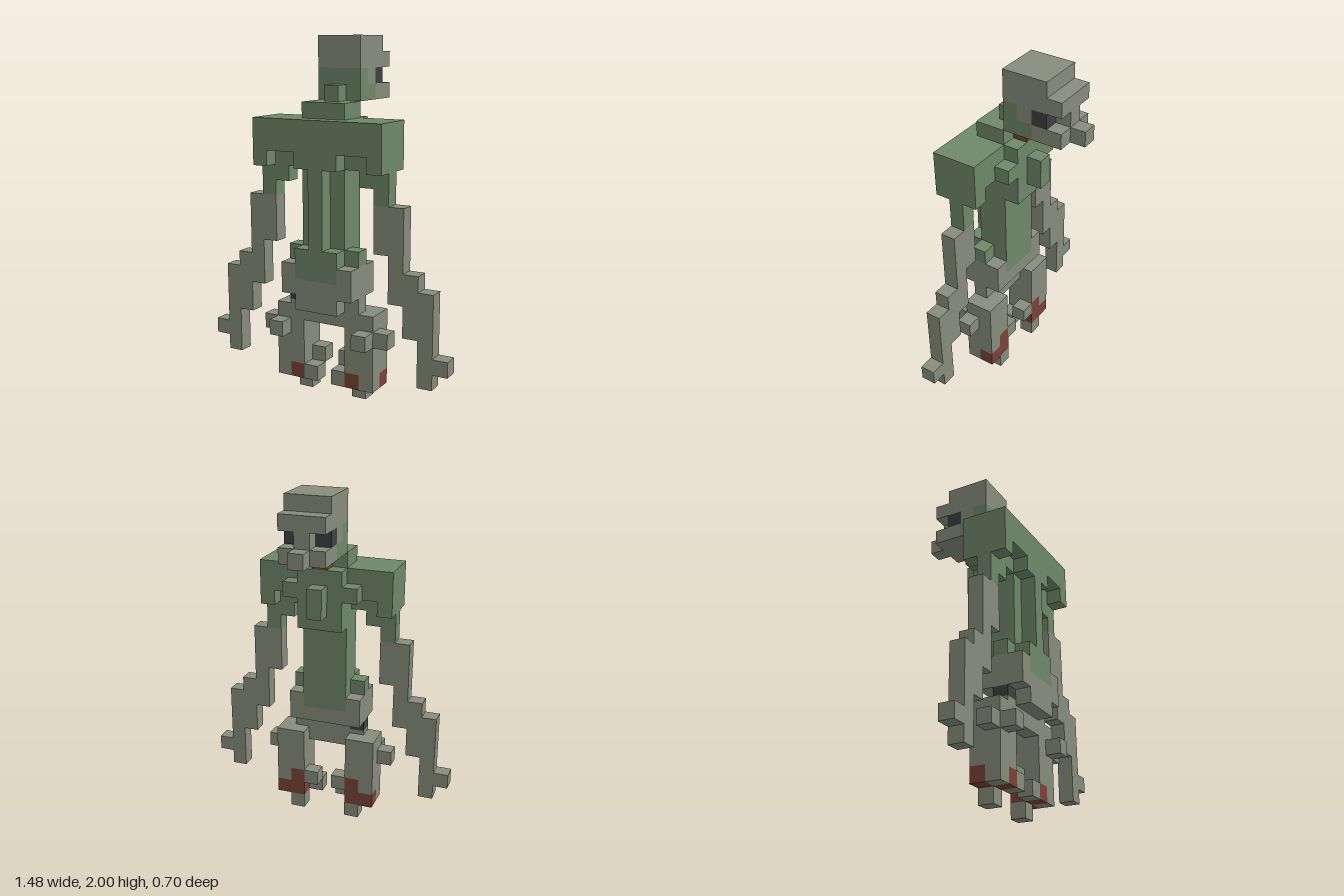
import * as THREE from 'three';

const U = 2 / 23; // one block

const mat = (name, color) => {
  const m = new THREE.MeshStandardMaterial({ color });
  m.name = name;
  return m;
};

export function createModel() {
  const grey = mat('grey skin', 0x878c7b);
  const green = mat('green cloth', 0x6e8869);
  const red = mat('dried red', 0x7a4236);
  const dark = mat('dark hollow', 0x3f4042);

  const model = new THREE.Group();
  model.name = 'blockFigure';

  const part = (name) => {
    const g = new THREE.Group();
    g.name = name;
    model.add(g);
    return g;
  };

  // Box given by its block ranges on each axis
  const box = (group, name, m, x0, x1, y0, y1, z0, z1) => {
    const geo = new THREE.BoxGeometry((x1 - x0) * U, (y1 - y0) * U, (z1 - z0) * U);
    const mesh = new THREE.Mesh(geo, m);
    mesh.name = name;
    mesh.position.set((x0 + x1) / 2 * U, (y0 + y1) / 2 * U, (z0 + z1) / 2 * U);
    group.add(mesh);
  };
  // Box centred on x = 0
  const mid = (group, name, m, half, ...yz) => box(group, name, m, -half, half, ...yz);
  // Mirrored pair of boxes
  const pair = (group, name, m, x0, x1, ...yz) => {
    box(group, name + 'Left', m, x0, x1, ...yz);
    box(group, name + 'Right', m, -x1, -x0, ...yz);
  };

  // Head, with brow, nose, jaw and eye hollows
  const head = part('head');
  mid(head, 'skull', grey, 1.5, 21, 23, -2, 1);
  mid(head, 'nape', green, 1.5, 19, 21, 0, 1);
  mid(head, 'lowerCheek', green, 1.5, 19, 20, -1, 0);
  mid(head, 'upperCheek', grey, 1.5, 20, 21, -1, 0);
  mid(head, 'mouthRoof', grey, 1.5, 19, 20, -2, -1);
  mid(head, 'noseBridge', grey, 0.5, 20, 21, -3, -1);
  pair(head, 'eye', dark, 0.5, 1.5, 20, 21, -2, -1);
  mid(head, 'brow', grey, 1.5, 21, 22, -3, -2);
  mid(head, 'jaw', grey, 1.5, 19, 20, -3, -2);
  mid(head, 'snout', grey, 0.5, 19, 20, -4, -3);

  // Neck
  const neck = part('neck');
  mid(neck, 'neckBase', green, 1.5, 18, 19, 1, 3);
  mid(neck, 'neckBone', green, 0.5, 19, 20, 1, 2);
  mid(neck, 'throat', red, 0.5, 18, 19, 0, 1);

  // Shoulders, chest and spine
  const torso = part('torso');
  mid(torso, 'shoulderBar', green, 4.5, 16, 18, 1, 4);
  pair(torso, 'shoulderEnd', green, 3.5, 4.5, 15, 16, 1, 4);
  pair(torso, 'armpit', green, 2.5, 3.5, 14, 16, 2, 3);
  pair(torso, 'shoulderBlade', green, 1.5, 2.5, 15, 16, 2, 3);
  mid(torso, 'chest', green, 1.5, 14, 18, 0, 1);
  mid(torso, 'breastbone', green, 0.5, 15, 17, -1, 0);
  pair(torso, 'rib', green, 1.5, 2.5, 16, 17, 0, 1);
  mid(torso, 'trunk', green, 1.5, 9, 16, 1, 3);
  mid(torso, 'upperBack', green, 1.5, 15, 16, 3, 4);
  mid(torso, 'spine', green, 0.5, 10, 15, 3, 4);
  mid(torso, 'lowerBack', green, 1.5, 9, 10, 3, 4);

  // Pelvis, with one dark hole on the right
  const pelvis = part('pelvis');
  mid(pelvis, 'clothHem', green, 1.5, 8, 9, 1, 4);
  pair(pelvis, 'hipKnob', green, 1.5, 2.5, 9, 10, 2, 3);
  pair(pelvis, 'hipSide', grey, 1.5, 2.5, 8, 9, 1, 4);
  mid(pelvis, 'hips', grey, 2.5, 7, 8, 1, 4);
  mid(pelvis, 'tailbone', grey, 1.5, 6, 7, 3, 4);
  mid(pelvis, 'crotch', grey, 1.5, 5, 7, 2, 3);
  box(pelvis, 'hipJointLeft', grey, 1.5, 2.5, 6, 7, 2, 3);
  box(pelvis, 'hipHole', dark, -2.5, -1.5, 6.3, 7, 2, 3);
  box(pelvis, 'hipJointRight', grey, -2.5, -1.5, 6, 6.3, 2, 3);

  // Arms: columns stepping outward and down to the hand
  const arms = part('arms');
  pair(arms, 'sleeve', green, 3.5, 4.5, 13, 15, 2, 3);
  [
    ['upperArm', 3.5, 5.5, 10, 13],
    ['elbow', 4.5, 5.5, 7, 10],
    ['forearm', 5.5, 6.5, 5, 9],
    ['wrist', 6.5, 7.5, 2, 8],
    ['thumb', 7.5, 8.5, 3, 4],
  ].forEach(([name, ...r]) => pair(arms, name, grey, ...r, 2, 3));

  // Legs, with red ankles
  const legs = part('legs');
  pair(legs, 'thigh', grey, 1.5, 3.5, 3, 6, 1, 3);
  pair(legs, 'outerShin', grey, 2.5, 3.5, 2, 3, 1, 3);
  pair(legs, 'calf', grey, 1.5, 2.5, 2, 3, 2, 3);
  pair(legs, 'heel', grey, 2.5, 3.5, 1, 2, 2, 3);
  pair(legs, 'shinWound', red, 1.5, 2.5, 2, 3, 1, 2);
  pair(legs, 'ankleWound', red, 1.5, 2.5, 1, 2, 1, 3);
  pair(legs, 'outerAnkleWound', red, 2.5, 3.5, 1, 2, 1, 2);
  pair(legs, 'kneeBack', grey, 2.5, 3.5, 4, 5, 3, 4);
  pair(legs, 'kneeSide', grey, 3.5, 4.5, 4, 5, 2, 3);
  pair(legs, 'innerShin', grey, 0.5, 1.5, 2, 3, 1, 2);
  pair(legs, 'innerAnkle', grey, 0.5, 1.5, 1, 2, 2, 3);
  pair(legs, 'foot', grey, 1.5, 2.5, 0, 1, 1, 2);

  return model;
}
